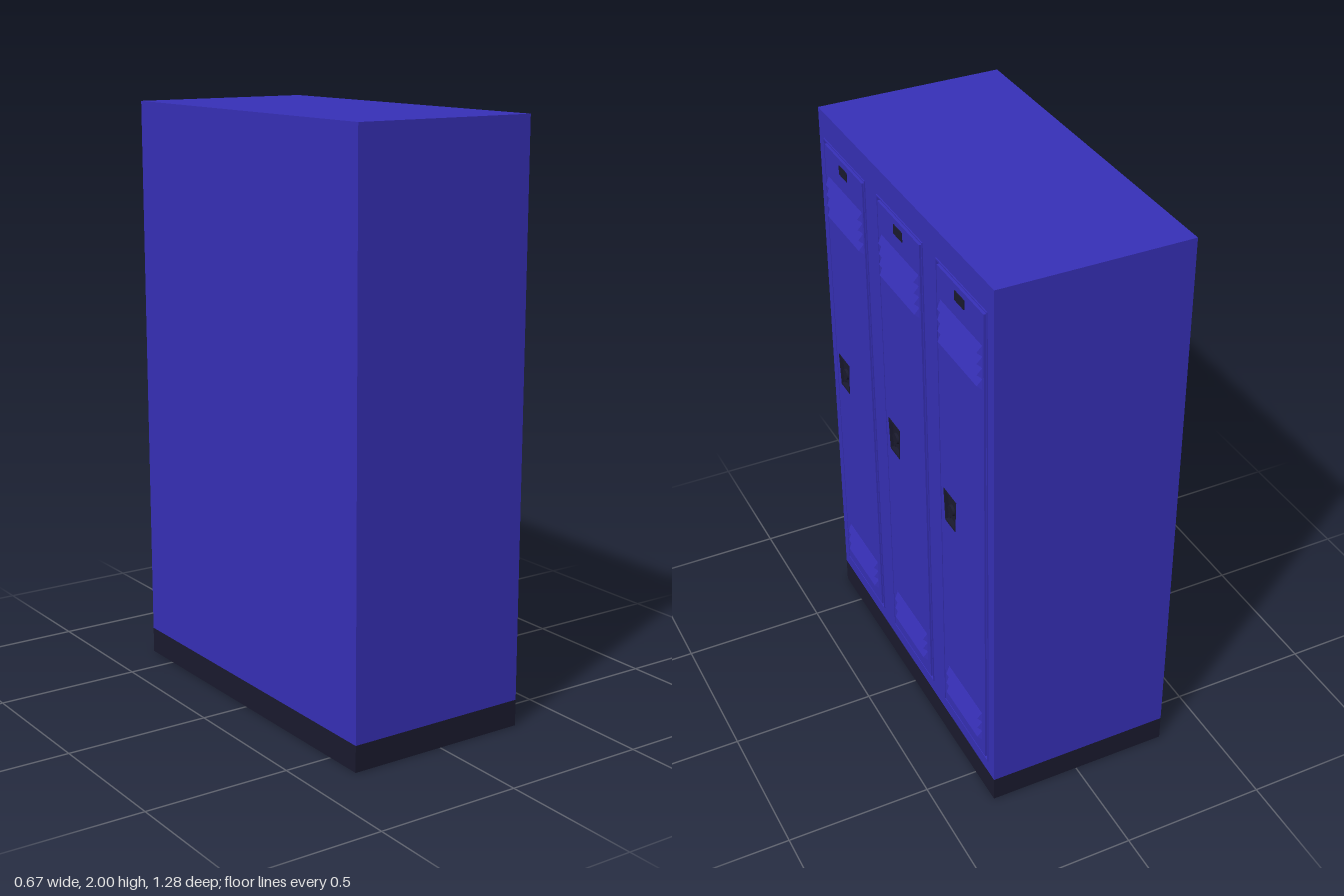
import * as THREE from 'three';

const blue = new THREE.MeshStandardMaterial({ color: 0x3730b8 });
blue.name = 'blue paint';
const dark = new THREE.MeshStandardMaterial({ color: 0x1a1a2e });
dark.name = 'dark metal';

const FACE = 0.315; // front plane of the cabinet
const DEPTH = 0.018; // depth of the front frame and its door openings
const DOORS = [-0.43, 0, 0.43];
const LATCH = { x: -0.09, y: 1.03 };

function add(parent, name, geometry, material, x = 0, y = 0, z = 0) {
  const mesh = new THREE.Mesh(geometry, material);
  mesh.name = name;
  mesh.position.set(x, y, z);
  parent.add(mesh);
  return mesh;
}

// Door-height rectangle, inset from the outer door edge
function doorRect(cx, inset) {
  const w = 0.168 - inset, y0 = 0.142 + inset, y1 = 1.908 - inset;
  return [[cx - w, y0], [cx + w, y0], [cx + w, y1], [cx - w, y1]].map(p => new THREE.Vector2(...p));
}

// Tapered latch outline, wider at the top
function latchOutline(cx, cy, s = 1) {
  return [[-0.035, -0.059], [0.035, -0.059], [0.045, 0.06], [-0.045, 0.06]]
    .map(([x, y]) => new THREE.Vector2(cx + x * s, cy + y * s));
}

// Flat plate with an outline and optional holes
function plate(outline, depth, holes = []) {
  const shape = new THREE.Shape(outline);
  for (const hole of holes) shape.holes.push(new THREE.Path(hole));
  return new THREE.ExtrudeGeometry(shape, { depth, bevelEnabled: false });
}

// Pressed louver: slopes out from the door, open edge at the bottom
function louver(width, height, depth) {
  const g = new THREE.BoxGeometry(width, height, depth).toNonIndexed();
  const p = g.attributes.position;
  for (let i = 0; i < p.count; i++) {
    if (p.getZ(i) < 0) continue;
    p.setX(i, p.getX(i) * 0.91);
    if (p.getY(i) > 0) p.setZ(i, -depth / 2 + 0.001);
    else p.setY(i, p.getY(i) + 0.008);
  }
  g.computeVertexNormals();
  return g;
}

function makeDoor() {
  const door = new THREE.Group();
  const surface = FACE + 0.006;

  // Raised lip around the opening, then the door leaf inside a narrow gap
  add(door, 'doorLip', plate(doorRect(0, 0), 0.004, [doorRect(0, 0.004)]), blue, 0, 0, FACE);
  add(door, 'doorLeaf', plate(doorRect(0, 0.014), DEPTH + 0.006, [latchOutline(LATCH.x, LATCH.y)]),
    blue, 0, 0, FACE - DEPTH);

  // Louvers
  for (let i = 0; i < 4; i++)
    add(door, 'upperLouver', louver(0.288, 0.036, 0.012), blue, 0, 1.768 - i * 0.038, surface + 0.006);
  for (let i = 0; i < 3; i++)
    add(door, 'lowerLouver', louver(0.262, 0.038, 0.012), blue, 0, 0.317 - i * 0.042, surface + 0.006);

  // Number plate
  add(door, 'numberPlate', new THREE.BoxGeometry(0.062, 0.032, 0.003), dark, 0, 1.857, surface + 0.001);

  // Recessed latch: back plate, surrounding cup, lift handle, round lock and studs
  const latch = new THREE.Group();
  latch.name = 'latch';
  latch.position.set(LATCH.x, LATCH.y, FACE);
  door.add(latch);
  add(latch, 'latchBack', plate(latchOutline(0, 0), 0.004), dark, 0, 0, -DEPTH);
  add(latch, 'latchCup', plate(latchOutline(0, 0, 1.03), DEPTH + 0.007, [latchOutline(0, 0, 0.9)]),
    dark, 0, 0, -DEPTH);
  add(latch, 'liftHandle', plate(latchOutline(0, 0, 0.66), 0.012), dark, 0, 0, -0.014);
  const lock = add(latch, 'lockDial', new THREE.CylinderGeometry(0.018, 0.02, 0.008, 24), dark, 0, 0, 0.002);
  lock.rotation.x = Math.PI / 2;
  for (const x of [-0.03, 0.03])
    for (const y of [-0.044, 0.044])
      add(latch, 'latchStud', new THREE.BoxGeometry(0.014, 0.014, 0.012), dark, x, y, -0.009);
  return door;
}

export function createModel() {
  const model = new THREE.Group();
  model.name = 'lockers';

  // Cabinet shell and plinth
  const back = -0.333, front = FACE - DEPTH;
  add(model, 'cabinet', new THREE.BoxGeometry(front - back, 1.91, 1.276), blue, (front + back) / 2, 1.045, 0);
  add(model, 'plinth', new THREE.BoxGeometry(0.648, 0.09, 1.276), dark, -0.009, 0.045, 0);

  // Door side, built facing +z and turned to +x
  const doorSide = new THREE.Group();
  doorSide.name = 'doorSide';
  doorSide.rotation.y = Math.PI / 2;
  model.add(doorSide);

  const outline = [[-0.638, 0.09], [0.638, 0.09], [0.638, 2], [-0.638, 2]].map(p => new THREE.Vector2(...p));
  const openings = DOORS.map(x => doorRect(x, 0.004));
  add(doorSide, 'frontFrame', plate(outline, DEPTH, openings), blue, 0, 0, front);

  DOORS.forEach((x, i) => {
    const door = makeDoor();
    door.name = 'door' + (i + 1);
    door.position.x = x;
    doorSide.add(door);
  });
  return model;
}
